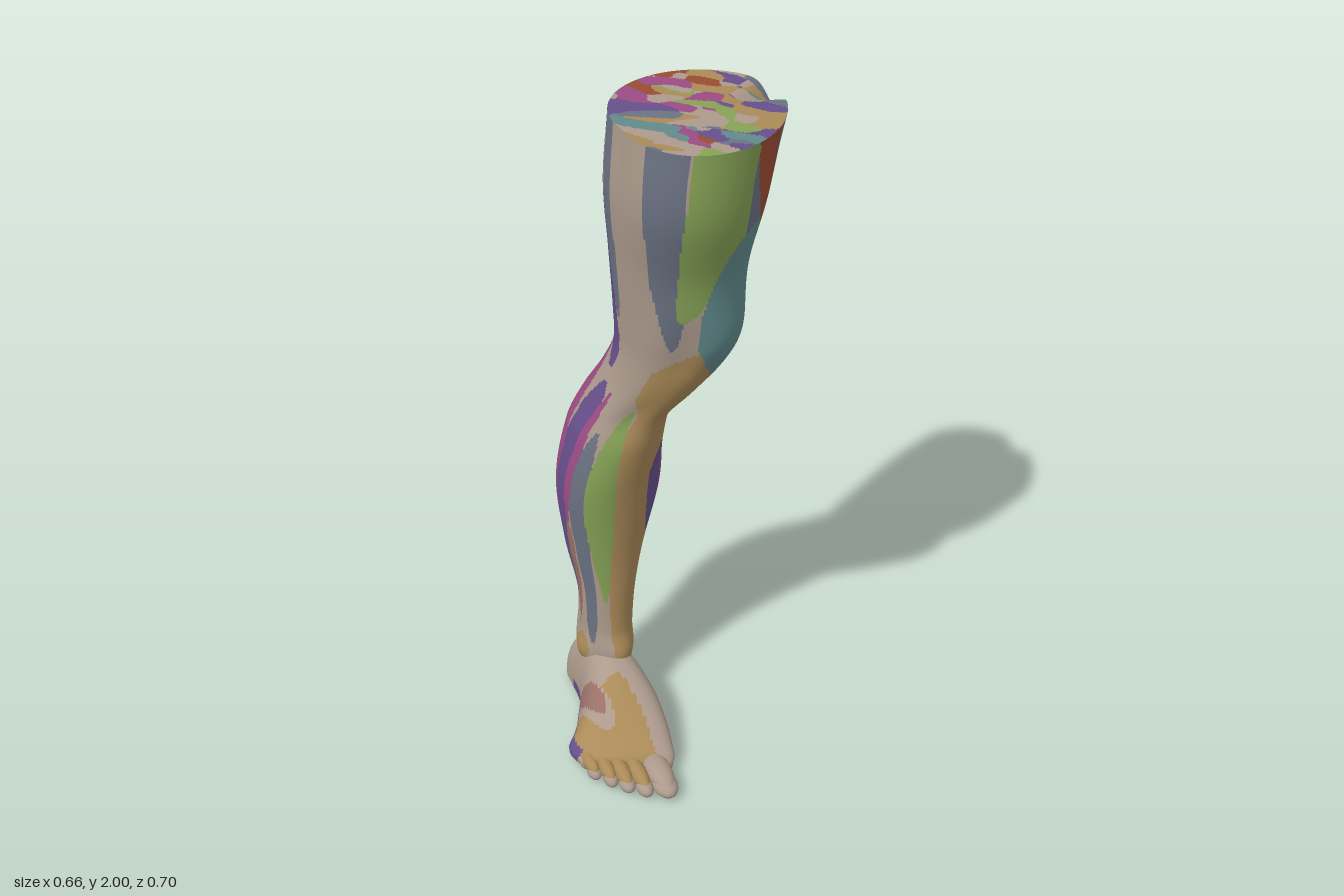
import * as THREE from 'three';

const mat = (name, color) => { const m = new THREE.MeshStandardMaterial({ color }); m.name = name; return m; };
const M = {
  pale: mat('pale fascia', 0xac9a8c), tan: mat('tan bone', 0xaa8a58), teal: mat('teal muscle', 0x628a8c),
  purple: mat('purple muscle', 0x664f8b), magenta: mat('magenta muscle', 0x9c4c84), red: mat('red muscle', 0x9a4c34),
  green: mat('green muscle', 0x86a256), slate: mat('slate muscle', 0x6b7282), rose: mat('rose muscle', 0x9a7068),
};
const { smoothstep } = THREE.MathUtils;

// Cubic interpolation through rows keyed by their first number
function sample(rows, t) {
  let i = 0;
  while (i < rows.length - 2 && t > rows[i + 1][0]) i++;
  const a = rows[i], b = rows[i + 1], p = rows[Math.max(i - 1, 0)], n = rows[Math.min(i + 2, rows.length - 1)];
  const h = b[0] - a[0], u = Math.min(1, Math.max(0, (t - a[0]) / h));
  return a.map((v, k) => {
    const m0 = (b[k] - p[k]) / (b[0] - p[0]) * h, m1 = (n[k] - v) / (n[0] - a[0]) * h;
    return v + u * (m0 + u * (3 * (b[k] - v) - 2 * m0 - m1 + u * (2 * (v - b[k]) + m0 + m1)));
  });
}

// Closed grid surface, split into one mesh per named region
function surface(group, rows, cols, point, pick) {
  const pos = [], all = [], parts = {};
  for (let i = 0; i <= rows; i++) for (let j = 0; j < cols; j++) pos.push(...point(i / rows, j / cols * 360));
  for (let i = 0; i < rows; i++) for (let j = 0; j < cols; j++) {
    const k = (j + 1) % cols, a = i * cols + j, b = i * cols + k, c = a + cols, d = b + cols;
    const mid = [0, 1, 2].map(n => (pos[a * 3 + n] + pos[b * 3 + n] + pos[c * 3 + n] + pos[d * 3 + n]) / 4);
    const [name, color] = pick((j + 0.5) / cols * 360, mid);
    const part = parts[name] ??= { color, index: [] };
    part.index.push(a, b, d, a, d, c);
    all.push(a, b, d, a, d, c);
  }
  const base = new THREE.BufferGeometry();
  base.setAttribute('position', new THREE.Float32BufferAttribute(pos, 3));
  base.setIndex(all);
  base.computeVertexNormals();
  for (const [name, { color, index }] of Object.entries(parts)) {
    const g = new THREE.BufferGeometry();
    g.setAttribute('position', base.attributes.position);
    g.setAttribute('normal', base.attributes.normal);
    g.setIndex(index);
    const mesh = new THREE.Mesh(g, M[color]);
    mesh.name = name;
    group.add(mesh);
  }
}

// Leg sections: y, x min, x max, z front, z back, z of widest point
const LEG = [
  [0.06, -0.14, -0.04, -0.1, -0.292, -0.2], [0.22, -0.158, -0.008, -0.06, -0.293, -0.19],
  [0.3, -0.157, -0.003, -0.08, -0.29, -0.18], [0.45, -0.163, 0.012, -0.078, -0.297, -0.18],
  [0.6, -0.185, 0.05, -0.07, -0.315, -0.19], [0.8, -0.2, 0.11, -0.04, -0.345, -0.195],
  [1, -0.177, 0.088, 0.005, -0.312, -0.155], [1.1, -0.145, 0.097, 0.03, -0.275, -0.115],
  [1.2, -0.112, 0.14, 0.095, -0.225, -0.07], [1.3, -0.096, 0.183, 0.155, -0.19, -0.02],
  [1.4, -0.1, 0.193, 0.2, -0.195, 0], [1.6, -0.122, 0.225, 0.222, -0.196, 0.02],
  [1.8, -0.145, 0.28, 0.28, -0.2, 0.04], [2, -0.136, 0.33, 0.297, -0.19, 0.045],
];
// Ankle bones, tendon and knee hollows, muscle furrows: angle, y, angular spread, y spread, amount
const BUMPS = [
  [85, 0.235, 22, 0.035, 0.01], [275, 0.2, 22, 0.04, 0.012], [125, 0.34, 22, 0.12, -0.018], [235, 0.34, 22, 0.12, -0.018],
  [35, 1.42, 28, 0.1, 0.016], [330, 1.38, 22, 0.1, -0.018], [38, 1.12, 20, 0.08, -0.012], [322, 1.12, 20, 0.08, -0.012],
];
const bell = v => Math.exp(-v * v);
const wrap = d => ((d + 540) % 360) - 180;
function legPoint(y, deg) {
  const [, x0, x1, zf, zb, zc] = sample(LEG, y);
  const a = deg * Math.PI / 180, s = Math.sin(a), c = Math.cos(a);
  let r = 0;
  for (const [p, by, dp, dy, amt] of BUMPS) r += amt * bell(wrap(deg - p) / dp) * bell((y - by) / dy);
  const dip = 0.06 * bell(wrap(deg - 92) / 11) * Math.max(0, (y - 1.85) / 0.15);
  const shift = -0.06 * smoothstep(y, 1.5, 1.95) - 0.02 * bell((y - 0.85) / 0.15);
  return [(x0 + x1) / 2 + ((x1 - x0) / 2 + r) * s + shift * Math.max(0, c), y - dip,
    zc + ((c > 0 ? zf - zc : zc - zb) + r) * c];
}

// Muscles as tapering bands; later ones lie on top. Angle 0 is the front, 90 the inner side.
// name, colour, top y, bottom y, angle at top, middle and bottom, half width, top taper, bottom taper
const BONES = [
  ['kneeBone', 'tan', 1.4, 1.05, 20, 20, 25, 75, 0.3, 0.4],
  ['shinBone', 'tan', 1.42, 0.17, 10, 8, 20, 40, 0.1, 0],
  ['innerAnkle', 'tan', 0.29, 0.19, 86, 86, 86, 24, 0.5, 0.5],
  ['outerAnkle', 'tan', 0.27, 0.16, 271, 271, 271, 20, 0.5, 0.5],
];
const THIGH = [
  ['outerThigh', 'slate', 2.1, 1.38, 311, 313, 316, 16, 0, 0.3],
  ['thighFront', 'green', 2.1, 1.48, 354, 355, 325, 28, 0, 0.45],
  ['innerThigh', 'slate', 2.1, 1.55, 95, 95, 95, 78, 0, 0.3],
  ['innerHamstring', 'teal', 1.82, 1.15, 135, 137, 115, 30, 0.25, 0.15],
  ['kneeMuscle', 'teal', 1.76, 1.27, 33, 33, 30, 50, 0.5, 0.25],
  ['longThighStrap', 'red', 2.1, 1.5, 27, 45, 92, 13, 0, 0],
  ['longThighStrap', 'red', 1.56, 1.08, 88, 97, 45, 14, 0, 0.08],
  ['longThighStrap', 'red', 1.19, 1.07, 72, 62, 54, 27, 0.4, 0.3],
  ['innerThighStrip', 'purple', 2.1, 1.76, 118, 122, 126, 7, 0, 0.4],
  ['backThigh', 'purple', 2.1, 1.24, 211, 211, 254, 33, 0, 0.5],
  ['hamstringStrip', 'green', 2.1, 1.32, 130, 155, 171, 5, 0, 0.1],
  ['outerHamstring', 'slate', 2.1, 1.42, 250, 250, 256, 8, 0, 0.2],
];
const SHIN = [
  ['outerShin', 'slate', 1.05, 0.25, 295, 295, 296, 12, 0.2, 0.1],
  ['shinMuscle', 'green', 1.14, 0.42, 318, 322, 326, 18, 0.4, 0.4],
  ['outerCalfStrip', 'purple', 1.2, 0.27, 262, 263, 246, 15, 0.1, 0.2],
  ['outerLegStrip', 'magenta', 1.18, 0.68, 278, 279, 276, 6, 0.3, 0.3],
  ['outerTendon', 'rose', 0.7, 0.32, 275, 272, 262, 7, 0.2, 0.2],
  ['innerShinStrip', 'green', 0.74, 0.38, 50, 53, 60, 9, 0.5, 0.5],
  ['underCalf', 'purple', 0.98, 0.58, 42, 37, 58, 16, 0.2, 0.3],
  ['innerCalfStrip', 'purple', 0.78, 0.28, 88, 91, 95, 22, 0, 0.15],
  ['calf', 'magenta', 1.42, 0.63, 195, 152, 158, 104, 0.6, 0.13],
];
const MUSCLES = [...BONES, ...THIGH, ...SHIN];
const taper = (t, e) => Math.sqrt(Math.min(1, t / (e || 0.001)));
function legRegion(deg, [, y]) {
  let found = ['legFascia', 'pale'];
  for (const [name, color, top, bottom, a, b, c, w, e0, e1] of MUSCLES) {
    const t = (top - y) / (top - bottom);
    if (t < 0 || t > 1) continue;
    const mid = (1 - t) * (1 - 2 * t) * a + 4 * t * (1 - t) * b + t * (2 * t - 1) * c;
    if (Math.abs(wrap(deg - mid)) < w * taper(t, e0) * taper(1 - t, e1)) found = [name, color];
  }
  return found;
}

// Foot sections from heel to toes: length position, x min, x max, top, sideways crest shift
const FOOT = [
  [-0.318, -0.09, -0.085, 0.06, 0], [-0.31, -0.13, -0.052, 0.1, 0], [-0.29, -0.155, -0.03, 0.15, 0],
  [-0.24, -0.168, -0.02, 0.19, 0], [-0.15, -0.192, -0.02, 0.225, 0], [-0.08, -0.24, -0.028, 0.222, 0.03],
  [0, -0.292, -0.045, 0.185, 0.05], [0.06, -0.322, -0.065, 0.145, 0.05], [0.12, -0.334, -0.085, 0.105, 0.035],
  [0.165, -0.33, -0.102, 0.08, 0.02], [0.195, -0.315, -0.135, 0.06, 0], [0.205, -0.215, -0.21, 0.037, 0],
];
function footPoint(t, deg) {
  const [s, x0, x1, top, crest] = sample(FOOT, -0.318 + 0.523 * t);
  const a = deg * Math.PI / 180, c = Math.cos(a), n = Math.sin(a), base = 0.035;
  const x = (x0 + x1) / 2 + (x1 - x0) / 2 * Math.sign(c) * Math.abs(c) ** 0.85 + crest * Math.max(0, n);
  const y = n > 0 ? base + (top - base) * n : base - (base - 0.003) * Math.abs(n) ** 0.4;
  return [x, Math.max(0, y), s + 0.7 * smoothstep(s, -0.1, 0.17) * (x + 0.2)];
}
const oval = (x, z, cx, cz, rx, rz) => ((x - cx) / rx) ** 2 + ((z - cz) / rz) ** 2 < 1;
function footRegion(deg, [x, y, z]) {
  if (deg > 180 && y < 0.02) {
    if (oval(x, z, -0.08, -0.08, 0.07, 0.12)) return ['archMuscle', 'red'];
    if (z < -0.2) return ['footSkin', 'pale'];
    return x < -0.27 && z < 0.08 ? ['outerSoleMuscle', 'purple'] : ['sole', 'tan'];
  }
  if (deg < 90 || deg > 270) {
    if (oval(z, y, -0.085, 0, 0.11, 0.085)) return ['archMuscle', 'red'];
    if (oval(z, y, -0.06, 0, 0.19, 0.115)) return ['sole', 'tan'];
  }
  if (deg > 140 && deg < 230 && y < 0.06 && z > -0.22 && z < 0.07) return ['outerSoleMuscle', 'purple'];
  if (oval(x, z, -0.217, -0.035, 0.024, 0.075)) return ['topFootMuscle', 'rose'];
  if (oval(x, z, -0.222, 0, 0.035, 0.085)) return ['footSkin', 'pale'];
  if (y > 0.045 && z > -0.03 && x < -0.12 - 0.25 * Math.max(0, z - 0.1)) return ['topFootTendons', 'tan'];
  return ['footSkin', 'pale'];
}

// Cut face: long streaks around seeded points
let seed = 11;
const rand = () => (seed = (seed * 16807) % 2147483647) / 2147483647;
const CUT = ['pale', 'tan', 'magenta', 'teal', 'pale', 'red', 'purple', 'tan', 'green', 'pale', 'slate', 'pale'];
const STREAKS = Array.from({ length: 60 }, (_, i) => {
  const a = 0.4 + rand() * 1.2;
  return [-0.14 + rand() * 0.47, -0.2 + rand() * 0.5, Math.cos(a), Math.sin(a), CUT[i % CUT.length]];
});
function cutRegion(deg, [x, , z]) {
  let best = 9, color;
  for (const [sx, sz, c, s, k] of STREAKS) {
    const u = (x - sx) * c + (z - sz) * s, v = (z - sz) * c - (x - sx) * s, d = u * u * 0.2 + v * v * 2;
    if (d < best) { best = d; color = k; }
  }
  return [color + 'CutPatch', color];
}

export function createModel() {
  const model = new THREE.Group();
  model.name = 'leg';
  const leg = new THREE.Group(), cut = new THREE.Group(), foot = new THREE.Group();
  leg.name = 'legMuscles'; cut.name = 'cutFace'; foot.name = 'foot';
  model.add(leg, cut, foot);

  surface(leg, 210, 180, (t, d) => legPoint(0.06 + 1.94 * t, d), legRegion);
  surface(cut, 50, 180, (t, d) => {
    const [x, y, z] = legPoint(2, d), k = 1 - t;
    return [0.095 + (x - 0.095) * k, 2 + (y - 2) * k ** 3, 0.05 + (z - 0.05) * k];
  }, cutRegion);
  surface(foot, 80, 96, footPoint, footRegion);

  // Toes: base x, base z, tip x, tip z, half width, half height
  const ball = new THREE.SphereGeometry(1, 20, 14);
  const toes = [[-0.145, 0.16, -0.182, 0.35, 0.038, 0.03], [-0.2, 0.14, -0.232, 0.308, 0.025, 0.026],
    [-0.237, 0.12, -0.267, 0.265, 0.024, 0.025], [-0.27, 0.09, -0.295, 0.218, 0.022, 0.024], [-0.3, 0.05, -0.319, 0.165, 0.021, 0.023]];
  toes.forEach(([bx, bz, tx, tz, w, h], i) => {
    const toe = new THREE.Group(), len = Math.hypot(tx - bx, tz - bz);
    toe.name = 'toe' + (i + 1);
    toe.position.set(bx, 0, bz);
    toe.rotation.y = Math.atan2(tx - bx, tz - bz);
    const add = (name, m, y, z, sx, sy, sz) => {
      const mesh = new THREE.Mesh(ball, m);
      mesh.name = name;
      mesh.position.set(0, y, z);
      mesh.scale.set(sx, sy, sz);
      toe.add(mesh);
    };
    add('toeBone', i ? M.tan : M.pale, h + 0.014, len * 0.46, w, h, len * 0.46);
    add('toeTip', M.pale, h * 0.9 + 0.006, len - w * 1.5, w * 0.97, h * 0.9, w * 1.5);
    foot.add(toe);
  });
  return model;
}
